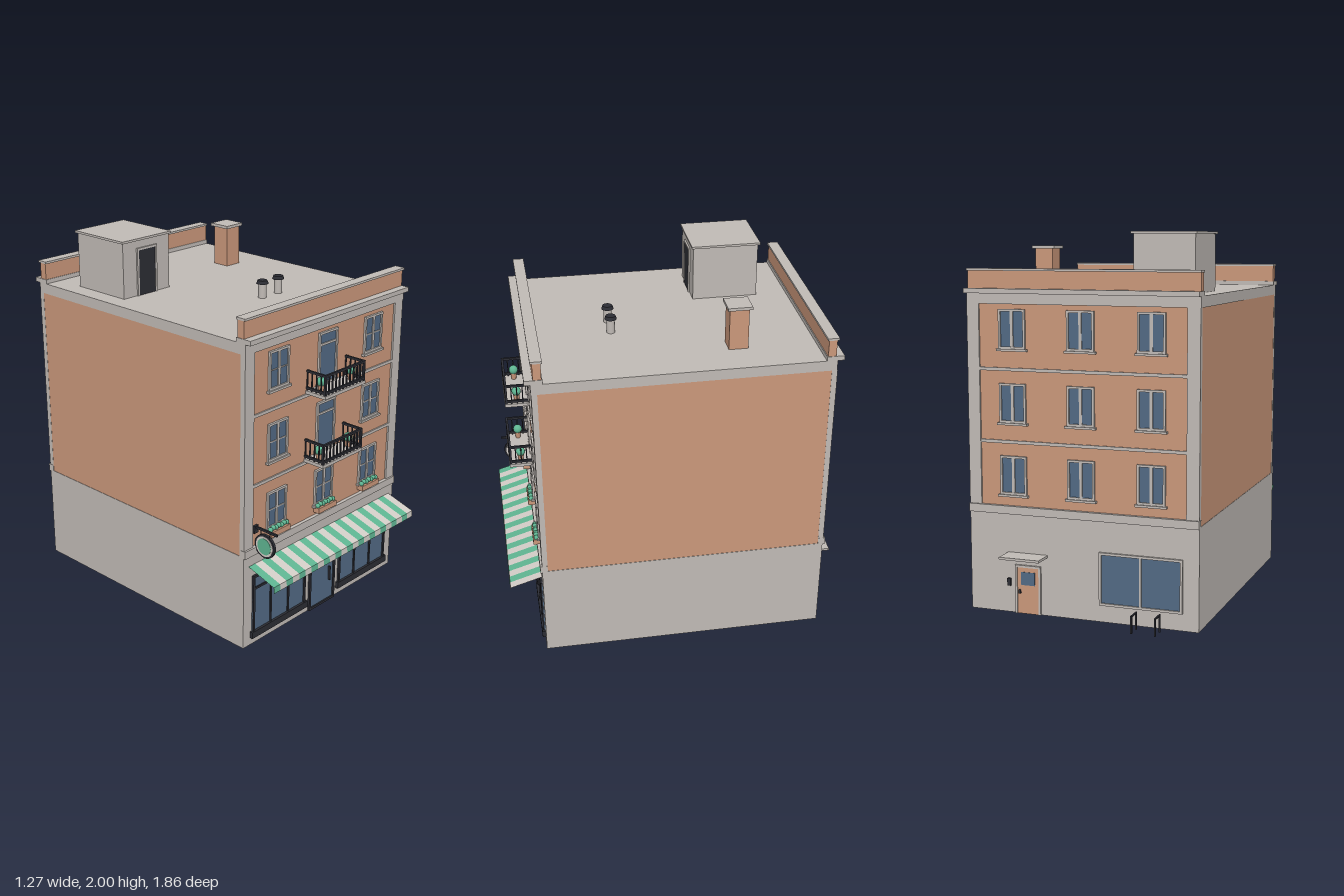
import * as THREE from 'three';

const paint = (name, color) => {
  const m = new THREE.MeshStandardMaterial({ color });
  m.name = name;
  return m;
};
const stone = paint('stone', 0xc1bbb6), brick = paint('brick', 0xcb987b), glass = paint('glass', 0x526a84);
const iron = paint('iron', 0x2c2d34), green = paint('green', 0x5fb592), cream = paint('cream', 0xd3cdc7);
const awningGreen = green.clone(), awningCream = cream.clone();
awningGreen.name = 'awningGreen';
awningCream.name = 'awningCream';
awningGreen.side = awningCream.side = THREE.DoubleSide;

function add(parent, name, geo, mat, x, y, z) {
  const m = new THREE.Mesh(geo, mat);
  m.name = name;
  m.position.set(x, y, z);
  parent.add(m);
  return m;
}

// Box given by its extents on each axis
function box(parent, name, mat, x0, x1, y0, y1, z0, z1) {
  return add(parent, name, new THREE.BoxGeometry(x1 - x0, y1 - y0, z1 - z0), mat,
    (x0 + x1) / 2, (y0 + y1) / 2, (z0 + z1) / 2);
}

function group(parent, name) {
  const g = new THREE.Group();
  g.name = name;
  parent.add(g);
  return g;
}

// Four bars around a rectangle on a wall facing +z
function frame(p, mat, x0, x1, y0, y1, z0, z1, t) {
  box(p, 'frameSide', mat, x0, x0 + t, y0, y1, z0, z1);
  box(p, 'frameSide', mat, x1 - t, x1, y0, y1, z0, z1);
  box(p, 'frameTop', mat, x0 + t, x1 - t, y1 - t, y1, z0, z1);
  box(p, 'frameBottom', mat, x0 + t, x1 - t, y0, y0 + t, z0, z1);
}

// Sash window; y is the bottom of the frame
function sashWindow(parent, x, y, z, crossBar) {
  const g = group(parent, 'window');
  box(g, 'pane', glass, x - 0.07, x + 0.07, y + 0.01, y + 0.195, z, z + 0.004);
  frame(g, stone, x - 0.075, x + 0.075, y, y + 0.205, z, z + 0.012, 0.012);
  box(g, 'mullion', stone, x - 0.008, x + 0.008, y + 0.012, y + 0.193, z, z + 0.01);
  if (crossBar) box(g, 'crossBar', stone, x - 0.063, x + 0.063, y + 0.1, y + 0.106, z, z + 0.008);
  box(g, 'sill', stone, x - 0.085, x + 0.085, y - 0.012, y, z, z + 0.02);
}

function flowerBox(parent, x, y, z) {
  const g = group(parent, 'flowerBox');
  box(g, 'planter', brick, x - 0.075, x + 0.075, y - 0.035, y - 0.005, z + 0.002, z + 0.04);
  for (let i = 0; i < 7; i++)
    add(g, 'leaves', new THREE.IcosahedronGeometry(0.014, 1), green, x - 0.063 + i * 0.021, y + 0.003 + (i % 2) * 0.005, z + 0.022);
}

// French door with balcony, railing and two potted shrubs
function balcony(parent, y, z) {
  const g = group(parent, 'balcony');
  box(g, 'balconyDoorGlass', glass, -0.07, 0.07, y, y + 0.285, z, z + 0.004);
  frame(g, stone, -0.075, 0.075, y, y + 0.288, z, z + 0.012, 0.012);
  box(g, 'transom', stone, -0.063, 0.063, y + 0.215, y + 0.227, z, z + 0.01);
  box(g, 'slab', stone, -0.165, 0.165, y - 0.018, y, z, z + 0.13);
  const rail = (x0, x1, y0, y1, z0, z1) => box(g, 'railing', iron, x0, x1, y0, y1, z0, z1);
  for (const h of [0.008, 0.1]) {
    rail(-0.163, 0.163, y + h, y + h + 0.012, z + 0.116, z + 0.128);
    for (const s of [-1, 1]) rail(s * 0.157 - 0.006, s * 0.157 + 0.006, y + h, y + h + 0.012, z, z + 0.116);
  }
  for (let i = 0; i <= 11; i++) {
    const x = -0.157 + i * 0.02855, w = i % 11 ? 0.0035 : 0.006;
    rail(x - w, x + w, y, y + 0.108, z + 0.122 - w, z + 0.122 + w);
  }
  for (const s of [-1, 1]) {
    for (let i = 0; i < 4; i++) {
      const c = z + 0.004 + i * 0.03;
      rail(s * 0.157 - 0.003, s * 0.157 + 0.003, y, y + 0.105, c - 0.003, c + 0.003);
    }
    add(g, 'pot', new THREE.CylinderGeometry(0.018, 0.013, 0.036, 12), brick, s * 0.122, y + 0.018, z + 0.065);
    add(g, 'shrub', new THREE.SphereGeometry(0.025, 14, 10), green, s * 0.122, y + 0.055, z + 0.065);
  }
}

// Stone trim and parapet shared by the front and back walls; z is the wall plane
function facadeTrim(p, z) {
  box(p, 'ledge', stone, -0.635, 0.635, 0.532, 0.575, z - 0.02, z + 0.02);
  for (const s of [-1, 1]) box(p, 'pilaster', stone, s * 0.6 - 0.034, s * 0.6 + 0.034, 0.575, 1.63, z - 0.02, z + 0.01);
  for (const y of [0.905, 1.285]) box(p, 'storeyBand', stone, -0.566, 0.566, y, y + 0.017, z - 0.01, z + 0.008);
  box(p, 'cornice', stone, -0.635, 0.635, 1.685, 1.71, z - 0.05, z + 0.042);
  box(p, 'parapet', brick, -0.632, 0.632, 1.71, 1.8, z - 0.045, z - 0.002);
  box(p, 'parapetCap', stone, -0.635, 0.635, 1.8, 1.812, z - 0.052, z + 0.008);
}

// Striped sloping awning with a hanging valance
function awning(p) {
  const g = group(p, 'awning'), n = 24, w = 1.195 / n;
  for (let i = 0; i < n; i++) {
    const x = -0.6 + i * w, geo = new THREE.BufferGeometry();
    const pts = [], idx = [];
    for (const [y, z] of [[0.475, 0.757], [0.422, 0.93], [0.387, 0.932]]) pts.push(x, y, z, x + w, y, z);
    for (const k of [0, 2]) idx.push(k, k + 2, k + 3, k, k + 3, k + 1);
    geo.setAttribute('position', new THREE.Float32BufferAttribute(pts, 3));
    geo.setIndex(idx);
    const flat = geo.toNonIndexed();
    flat.computeVertexNormals();
    add(g, 'awningStripe', flat, i % 2 ? awningCream : awningGreen, 0, 0, 0);
  }
}

function shopWindow(p, x0, x1, z) {
  const g = group(p, 'shopWindow'), w = (x1 - x0) / 3;
  box(g, 'shopGlass', glass, x0, x1, 0.07, 0.405, z, z + 0.004);
  frame(g, iron, x0, x1, 0.06, 0.41, z, z + 0.012, 0.014);
  for (const i of [1, 2]) box(g, 'shopMullion', iron, x0 + i * w - 0.006, x0 + i * w + 0.006, 0.07, 0.4, z, z + 0.01);
  box(g, 'shopTransom', iron, x0, x1, 0.326, 0.338, z, z + 0.011);
  box(g, 'shopBase', iron, x0 - 0.012, x1 + 0.012, 0.042, 0.08, z, z + 0.018);
}

export function createModel() {
  const root = new THREE.Group();
  root.name = 'building';

  // Open-bottomed ground storey, brick upper storeys, roof slab
  const shell = group(root, 'shell');
  box(shell, 'frontWall', stone, -0.635, 0.635, 0, 0.54, 0.745, 0.755);
  box(shell, 'backWall', stone, -0.635, 0.635, 0, 0.54, -0.8, -0.79);
  for (const s of [-1, 1]) box(shell, 'sideWall', stone, s * 0.63 - 0.005, s * 0.63 + 0.005, 0, 0.54, -0.79, 0.745);
  box(shell, 'upperStoreys', brick, -0.633, 0.633, 0.538, 1.63, -0.793, 0.745);
  box(shell, 'roofSlab', stone, -0.635, 0.635, 1.63, 1.687, -0.8, 0.757);

  // Front facade
  const front = group(root, 'frontFacade'), zf = 0.745, zg = 0.755;
  facadeTrim(front, zf);
  for (const x of [-0.382, 0, 0.382])
    [0.635, 1.015, 1.4].forEach((y, row) => {
      if (x || !row) sashWindow(front, x, y, zf, true);
      if (!row) flowerBox(front, x, y - 0.005, zf);
    });
  balcony(front, 0.938, zf);
  balcony(front, 1.32, zf);

  // Shopfront
  shopWindow(front, -0.57, -0.145, zg);
  shopWindow(front, 0.145, 0.57, zg);
  const door = group(front, 'shopDoor');
  box(door, 'doorGlass', glass, -0.1, 0.1, 0.01, 0.4, zg, zg + 0.004);
  frame(door, iron, -0.11, 0.11, 0, 0.41, zg, zg + 0.012, 0.014);
  box(door, 'doorTransom', iron, -0.1, 0.1, 0.322, 0.334, zg, zg + 0.011);
  box(door, 'doorHandle', iron, 0.057, 0.063, 0.13, 0.215, zg, zg + 0.018);
  awning(front);

  // Hanging round sign
  const sign = group(front, 'hangingSign');
  box(sign, 'signPlate', iron, -0.558, -0.53, 0.65, 0.692, zf, zf + 0.014);
  box(sign, 'signArm', iron, -0.549, -0.539, 0.678, 0.69, zf, 0.9);
  for (const z of [0.79, 0.85]) box(sign, 'signHanger', iron, -0.546, -0.542, 0.645, 0.68, z - 0.002, z + 0.002);
  for (const [name, r, d, m] of [['signRim', 0.066, 0.014, iron], ['signFace', 0.056, 0.018, cream], ['signCentre', 0.045, 0.022, green]])
    add(sign, name, new THREE.CylinderGeometry(r, r, d, 28), m, -0.544, 0.597, 0.82).rotation.z = Math.PI / 2;

  // Back facade, built facing +z and turned round (its x runs opposite)
  const back = group(root, 'backFacade'), zb = 0.793, zw = 0.8;
  back.rotation.y = Math.PI;
  facadeTrim(back, zb);
  for (const x of [-0.38, 0, 0.38]) for (const y of [0.635, 1.015, 1.4]) sashWindow(back, x, y, zb, false);
  box(back, 'rearGlass', glass, 0.11, 0.54, 0.1, 0.36, zw, zw + 0.004);
  frame(back, stone, 0.1, 0.55, 0.09, 0.37, zw, zw + 0.012, 0.013);
  box(back, 'rearMullion', stone, 0.319, 0.331, 0.1, 0.36, zw, zw + 0.01);
  box(back, 'rearDoor', brick, -0.362, -0.24, 0, 0.25, zw, zw + 0.006);
  box(back, 'rearDoorGlass', glass, -0.34, -0.262, 0.155, 0.225, zw, zw + 0.009);
  for (const x of [-0.374, -0.24]) box(back, 'rearDoorFrame', stone, x, x + 0.012, 0, 0.262, zw, zw + 0.012);
  box(back, 'rearDoorFrame', stone, -0.362, -0.24, 0.25, 0.262, zw, zw + 0.012);
  box(back, 'rearDoorHandle', iron, -0.352, -0.342, 0.11, 0.13, zw, zw + 0.016);
  box(back, 'entryPanel', iron, -0.42, -0.4, 0.145, 0.185, zw, zw + 0.012);
  box(back, 'canopy', stone, -0.415, -0.19, 0.313, 0.326, zw, 0.918);

  // Bicycle hoops behind the building
  for (const x of [-0.445, -0.32]) {
    const hoop = group(root, 'bicycleHoop');
    for (const z of [-0.927, -0.855]) box(hoop, 'hoopLeg', iron, x - 0.004, x + 0.004, 0, 0.085, z - 0.004, z + 0.004);
    box(hoop, 'hoopTop', iron, x - 0.004, x + 0.004, 0.085, 0.093, -0.931, -0.851);
  }

  // Rooftop stair house, chimney and vents
  const roof = group(root, 'rooftop'), y = 1.687;
  box(roof, 'stairHouse', stone, -0.535, -0.203, y, 1.988, -0.573, -0.212);
  box(roof, 'stairHouseRoof', stone, -0.545, -0.193, 1.988, 2, -0.585, -0.203);
  box(roof, 'stairDoor', iron, -0.428, -0.31, y, 1.935, -0.212, -0.206);
  for (const x of [-0.44, -0.31]) box(roof, 'stairDoorFrame', stone, x, x + 0.012, y, 1.947, -0.212, -0.203);
  box(roof, 'stairDoorFrame', stone, -0.428, -0.31, 1.935, 1.947, -0.212, -0.203);
  box(roof, 'chimney', brick, 0.33, 0.43, y, 1.91, -0.382, -0.28);
  box(roof, 'chimneyCap', stone, 0.316, 0.444, 1.91, 1.926, -0.396, -0.268);
  for (const x of [0, 0.127]) {
    add(roof, 'ventPipe', new THREE.CylinderGeometry(0.022, 0.022, 0.08, 16), stone, x, y + 0.04, 0.292);
    add(roof, 'ventCap', new THREE.CylinderGeometry(0.026, 0.033, 0.018, 16), iron, x, y + 0.087, 0.292);
  }
  return root;
}
